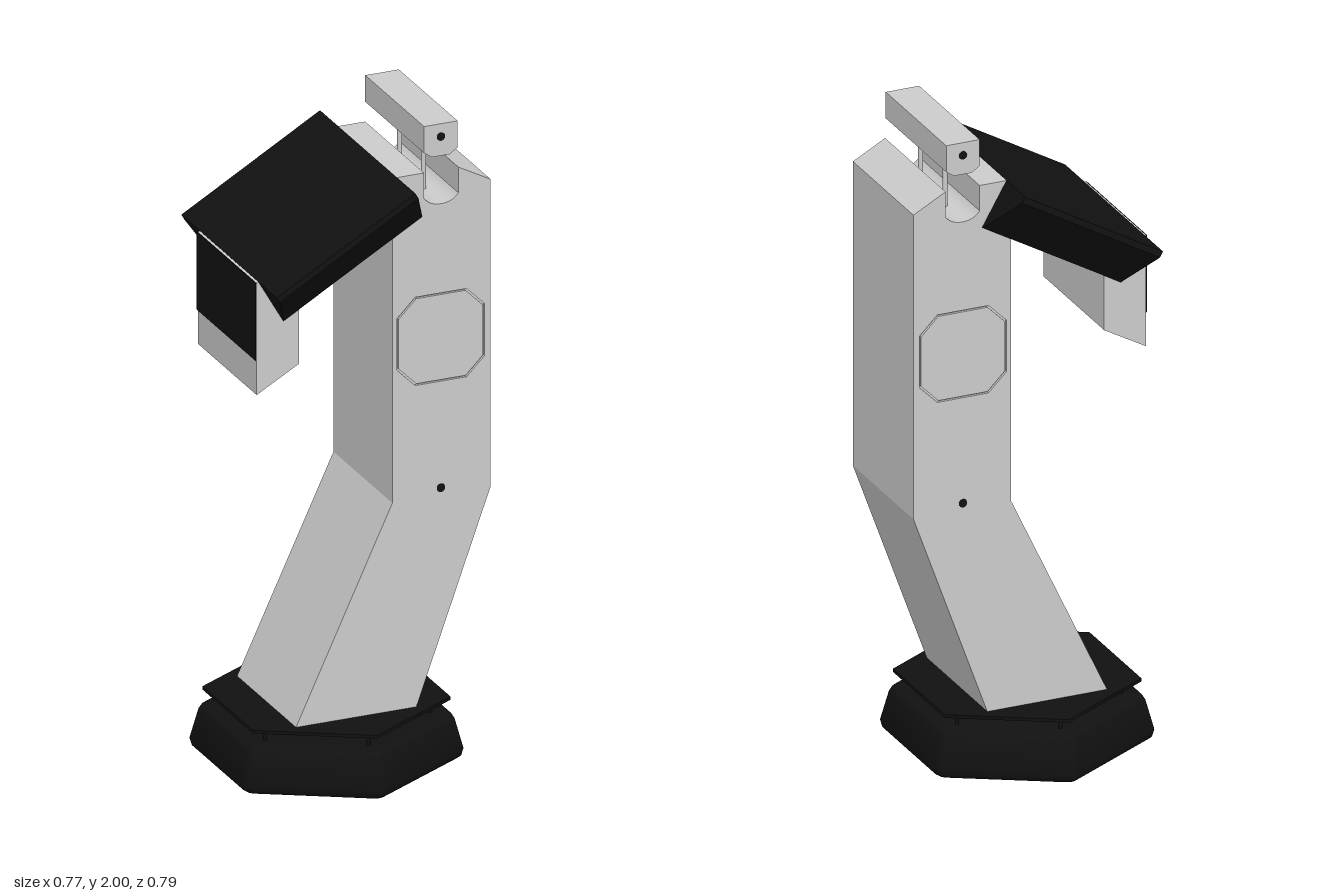
import * as THREE from 'three';
import { toCreasedNormals } from 'three/addons/utils/BufferGeometryUtils.js';

const grey = new THREE.MeshStandardMaterial({ color: 0xcccccc });
const black = new THREE.MeshStandardMaterial({ color: 0x111111 });
const HALF = 0.21; // half depth of the column
const BASE_X = -0.04;

function mesh(name, geometry, material, parent) {
  const m = new THREE.Mesh(geometry, material);
  m.name = name;
  parent.add(m);
  return m;
}

const shapeOf = (pts) => new THREE.Shape(pts.map(([x, y]) => new THREE.Vector2(x, y)));

// Extrude a front-view outline from z0 to z1
function slab(shape, z0, z1) {
  return new THREE.ExtrudeGeometry(shape, { depth: z1 - z0, bevelEnabled: false, curveSegments: 8 }).translate(0, 0, z0);
}

// Square with cut corners, given its half size and corner cut
function octagon(cx, cy, h, cut) {
  const c = h - cut;
  return [[-c, -h], [c, -h], [h, -c], [h, c], [c, h], [-c, h], [-h, c], [-h, -c]].map(([x, y]) => [cx + x, cy + y]);
}

// Hexagonal foot with rounded corners, made from stacked loops
function footGeometry() {
  const rows = [[0.33, 0], [0.343, 0.01], [0.348, 0.03], [0.326, 0.12], [0.318, 0.134], [0.303, 0.14]];
  const steps = 5, round = 0.03, pos = [], index = [];
  const n = 6 * (steps + 1);
  for (const [apothem, y] of rows) {
    const reach = (apothem - round) / Math.cos(Math.PI / 6);
    for (let k = 0; k < 6; k++) {
      const a = Math.PI / 2 + k * Math.PI / 3;
      for (let s = 0; s <= steps; s++) {
        const b = a + (s / steps - 0.5) * Math.PI / 3;
        pos.push(reach * Math.cos(a) + round * Math.cos(b), y, reach * Math.sin(a) + round * Math.sin(b));
      }
    }
  }
  for (let r = 0; r < rows.length - 1; r++) {
    for (let i = 0; i < n; i++) {
      const a = r * n + i, b = r * n + (i + 1) % n;
      index.push(a, a + n, b, b, a + n, b + n);
    }
  }
  // bottom and top caps
  const top = (rows.length - 1) * n;
  for (let i = 1; i < n - 1; i++) {
    index.push(0, i, i + 1, top, top + i + 1, top + i);
  }
  const g = new THREE.BufferGeometry();
  g.setAttribute('position', new THREE.Float32BufferAttribute(pos, 3));
  g.setIndex(index);
  return toCreasedNormals(g, 0.7);
}

function createBase() {
  const base = new THREE.Group();
  base.name = 'base';
  base.position.x = BASE_X;
  mesh('foot', footGeometry(), black, base);
  mesh('basePlate', new THREE.CylinderGeometry(0.36, 0.36, 0.01, 6).toNonIndexed(), black, base).position.y = 0.185;
  for (let k = 0; k < 6; k++) {
    const a = k * Math.PI / 3;
    const peg = mesh('basePeg', new THREE.CylinderGeometry(0.006, 0.006, 0.055, 10), black, base);
    peg.position.set(0.3 * Math.sin(a), 0.157, 0.3 * Math.cos(a));
  }
  return base;
}

// Bent column outline with a round-bottomed notch in its top
function columnShape() {
  const s = shapeOf([[-0.23, 0.188], [0.15, 0.188], [0.385, 0.84], [0.385, 1.8], [0.283, 1.855], [0.283, 1.775]]);
  s.quadraticCurveTo(0.265, 1.75, 0.229, 1.75);
  s.quadraticCurveTo(0.193, 1.75, 0.175, 1.775);
  s.lineTo(0.175, 1.855);
  s.lineTo(0.09, 1.855);
  s.lineTo(0.075, 1.845);
  s.lineTo(0.075, 0.84);
  return s;
}

function createColumn() {
  const column = new THREE.Group();
  column.name = 'column';
  const skin = 0.008;
  mesh('columnCore', slab(columnShape(), -HALF + skin, HALF - skin), grey, column);
  // side skins with a groove around the hatch
  const sheet = columnShape();
  sheet.holes.push(new THREE.Path(octagon(0.228, 1.333, 0.138, 0.057).map(([x, y]) => new THREE.Vector2(x, y))));
  const hatch = shapeOf(octagon(0.228, 1.333, 0.133, 0.055));
  for (const z0 of [HALF - skin, -HALF]) {
    mesh('columnSkin', slab(sheet, z0, z0 + skin), grey, column);
    mesh('hatch', slab(hatch, z0, z0 + skin), grey, column);
  }
  return column;
}

// Dark pin running through from front to back
function pin(name, y, parent) {
  const g = new THREE.CylinderGeometry(0.013, 0.013, HALF * 2 + 0.003, 16).rotateX(Math.PI / 2);
  mesh(name, g, black, parent).position.set(0.228, y, 0);
}

// Sloping hood: x across the model, y out of the slope, z down the slope
function createHood() {
  const hood = new THREE.Group();
  hood.name = 'hood';
  const tilted = new THREE.Group();
  tilted.name = 'hoodSlope';
  const c = Math.cos(Math.PI / 6);
  const m = new THREE.Matrix4().makeBasis(
    new THREE.Vector3(0, 0, 1), new THREE.Vector3(-0.5, c, 0), new THREE.Vector3(-c, -0.5, 0));
  m.setPosition(0.09, 1.855, 0);
  tilted.applyMatrix4(m);
  hood.add(tilted);
  const section = shapeOf([[-0.215, -0.154], [0.215, -0.154], [0.34, -0.02], [0.34, 0], [-0.34, 0], [-0.34, -0.02]]);
  mesh('hoodCover', slab(section, 0, 0.505), black, tilted);
  mesh('hoodUnderside', new THREE.BoxGeometry(0.41, 0.02, 0.497), grey, tilted).position.set(0, -0.146, 0.2525);

  // hanging head with a dark plate on its outer face
  const head = shapeOf([[-0.353, 1.25], [-0.22, 1.325], [-0.22, 1.51], [-0.335, 1.605], [-0.353, 1.6]]);
  mesh('head', slab(head, -HALF, HALF), grey, hood);
  mesh('headPlate', new THREE.BoxGeometry(0.005, 0.243, 0.42), black, hood).position.set(-0.354, 1.4785, 0);
  return hood;
}

function createRail() {
  const rail = new THREE.Group();
  rail.name = 'topRail';
  const outline = shapeOf([[0.2, 1.9], [0.256, 1.9], [0.281, 1.917], [0.281, 2], [0.175, 2], [0.175, 1.917]]);
  mesh('railBar', slab(outline, -HALF, HALF), grey, rail);
  for (const z of [-0.085, 0.085]) {
    mesh('railStem', new THREE.CylinderGeometry(0.007, 0.007, 0.165, 12), grey, rail).position.set(0.228, 1.825, z);
  }
  pin('railPin', 1.96, rail);
  return rail;
}

export function createModel() {
  const model = new THREE.Group();
  model.name = 'model';
  const column = createColumn();
  pin('columnPin', 0.862, column);
  model.add(createBase(), column, createHood(), createRail());
  return model;
}
